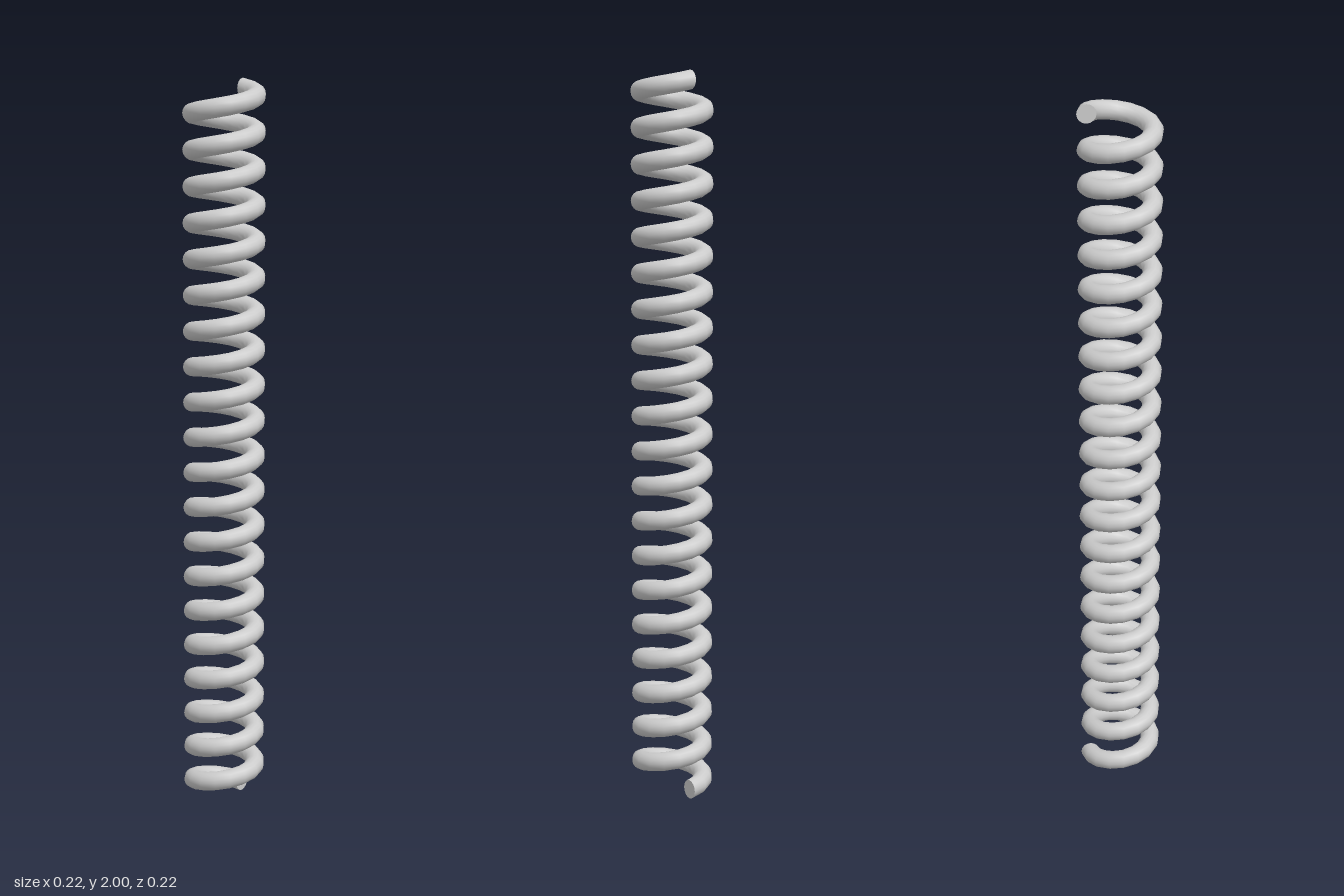
import * as THREE from 'three';

const COIL_RADIUS = 0.0863;
const WIRE_RADIUS = 0.0262;
const HEIGHT = 2;
const TURNS = 20;
const STEPS_PER_TURN = 16;
const WIRE_SIDES = 16;

// Sweep an upright circle around the y axis while it rises steadily.
function coilGeometry() {
  const steps = TURNS * STEPS_PER_TURN;
  const rise = (HEIGHT - 2 * WIRE_RADIUS) / steps;
  const positions = [];
  const indices = [];
  for (let i = 0; i <= steps; i++) {
    const turn = (i / STEPS_PER_TURN) * Math.PI * 2;
    for (let j = 0; j < WIRE_SIDES; j++) {
      const a = (j / WIRE_SIDES) * Math.PI * 2;
      const radius = COIL_RADIUS + WIRE_RADIUS * Math.cos(a);
      positions.push(
        -radius * Math.sin(turn),
        WIRE_RADIUS + i * rise + WIRE_RADIUS * Math.sin(a),
        -radius * Math.cos(turn)
      );
      if (i < steps) {
        const next = (j + 1) % WIRE_SIDES;
        const p = i * WIRE_SIDES + j;
        const q = i * WIRE_SIDES + next;
        indices.push(p, p + WIRE_SIDES, q, q, p + WIRE_SIDES, q + WIRE_SIDES);
      }
    }
  }
  const geometry = new THREE.BufferGeometry();
  geometry.setAttribute('position', new THREE.Float32BufferAttribute(positions, 3));
  geometry.setIndex(indices);
  geometry.computeVertexNormals();
  return geometry;
}

export function createModel() {
  const group = new THREE.Group();
  group.name = 'coilSpring';
  const material = new THREE.MeshStandardMaterial({ color: 0xcccccc });

  const coil = new THREE.Mesh(coilGeometry(), material);
  coil.name = 'coil';
  group.add(coil);

  // Flat discs closing the two cut ends of the wire
  const addCap = (name, y, facing) => {
    const cap = new THREE.Mesh(new THREE.CircleGeometry(WIRE_RADIUS, WIRE_SIDES), material);
    cap.name = name;
    cap.position.set(0, y, -COIL_RADIUS);
    cap.rotation.y = (facing * Math.PI) / 2;
    group.add(cap);
  };
  addCap('bottomEndCap', WIRE_RADIUS, 1);
  addCap('topEndCap', HEIGHT - WIRE_RADIUS, -1);

  return group;
}
